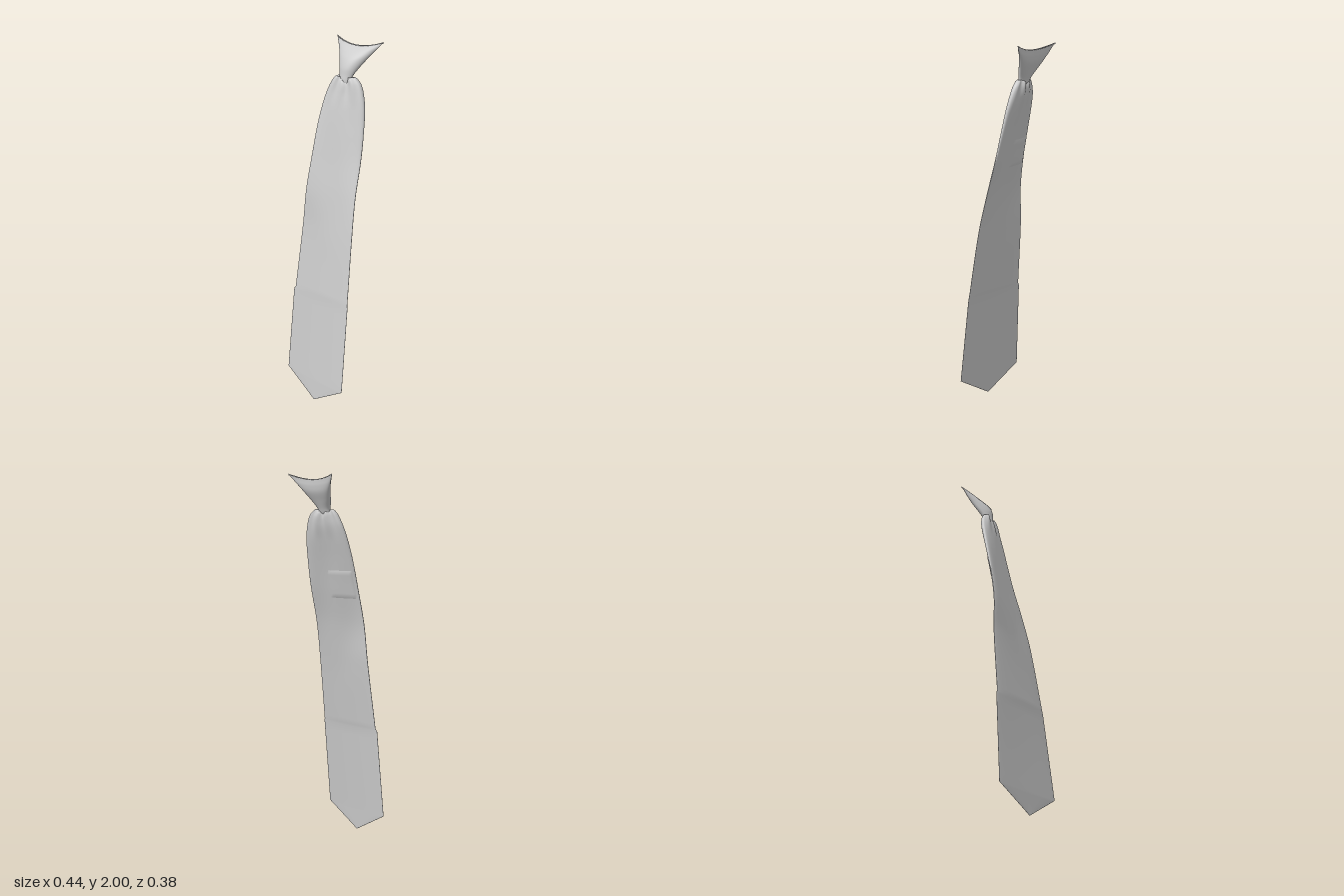
import * as THREE from 'three';

const SIDES = 64;

// Blade stations: y, left-edge x, right-edge x, z at each edge, half thickness
const FLAT = [
  [0, -0.002, 0.002, 0.173, 0.175, 0.002],
  [0.125, -0.22, 0.215, 0.142, 0.188, 0.003],
  [0.61, -0.198, 0.207, 0.108, 0.131, 0.004],
];
const BODY = [
  [0.625, -0.188, 0.204, 0.106, 0.129, 0.007],
  [1.0, -0.163, 0.186, 0.066, 0.070, 0.010],
  [1.2, -0.147, 0.171, 0.055, 0.026, 0.012],
  [1.4, -0.131, 0.162, 0.020, -0.030, 0.018],
  [1.55, -0.122, 0.151, -0.014, -0.064, 0.024],
  [1.66, -0.109, 0.138, -0.043, -0.086, 0.029],
  [1.73, -0.094, 0.120, -0.062, -0.096, 0.031],
  [1.78, -0.074, 0.099, -0.073, -0.100, 0.029],
  [1.805, -0.058, 0.077, -0.079, -0.098, 0.024],
  [1.815, -0.046, 0.062, -0.082, -0.096, 0.018],
];

// Knot stations: y, left x, right x, z of corners, z of middle, half thickness, sag of the middle
const KNOT = [
  [1.77, -0.020, 0.030, -0.085, -0.080, 0.012, 0],
  [1.79, -0.030, 0.040, -0.090, -0.086, 0.020, 0],
  [1.82, -0.036, 0.046, -0.098, -0.095, 0.024, 0],
  [1.86, -0.055, 0.068, -0.120, -0.108, 0.030, 0.002],
  [1.91, -0.080, 0.102, -0.149, -0.129, 0.031, 0.008],
  [1.95, -0.103, 0.134, -0.169, -0.145, 0.022, 0.016],
  [1.98, -0.121, 0.161, -0.181, -0.156, 0.012, 0.024],
  [2.0, -0.132, 0.174, -0.190, -0.162, 0.006, 0.029],
];

// Smooth interpolation of a station table at height y
function station(table, y) {
  const last = table.length - 1;
  let i = 0;
  while (i < last - 1 && y > table[i + 1][0]) i++;
  const a = table[i], b = table[i + 1], h = b[0] - a[0], s = (y - a[0]) / h;
  const slope = (k, c) => {
    const p = table[Math.max(k - 1, 0)], q = table[Math.min(k + 1, last)];
    return (q[c] - p[c]) / (q[0] - p[0]);
  };
  return a.map((v, c) => {
    if (c === 0) return y;
    const s2 = s * s, s3 = s2 * s;
    return v * (2 * s3 - 3 * s2 + 1) + b[c] * (3 * s2 - 2 * s3)
      + h * (slope(i, c) * (s3 - 2 * s2 + s) + slope(i + 1, c) * (s3 - s2));
  });
}

// Point on the blade at angle t around a station, with gathers near the knot
function bladePoint([y, xl, xr, zl, zr, th], t) {
  const u = Math.cos(t), w = Math.sin(t);
  const gather = THREE.MathUtils.smoothstep(y, 1.64, 1.81);
  const fold = 0.006 * gather * Math.cos(u * 10 + 0.6) * Math.abs(w);
  const drape = 0.003 * Math.sin(y * 9 + u * 3) * THREE.MathUtils.smoothstep(y, 0.8, 1.2) * w * w;
  const z = THREE.MathUtils.lerp(zl, zr, (u + 1) / 2) + th * Math.sign(w) * Math.pow(Math.abs(w), 0.8);
  // shoulders stay high while the middle dips under the knot
  const dip = 0.02 * gather * Math.exp(-u * u * 8);
  return [(xl + xr) / 2 + u * (xr - xl) / 2, y - dip, z + fold + drape];
}

// Point on the flared, forward-bowed knot
function knotPoint([y, xl, xr, zc, zm, th, sag], t) {
  const u = Math.cos(t), w = Math.sin(t), bow = 1 - u * u;
  return [
    (xl + xr) / 2 + u * (xr - xl) / 2,
    y - sag * bow,
    zc + (zm - zc) * bow + th * w,
  ];
}

// Skin a list of point rows; rings wrap around, patches do not
function skin(rows, wrap) {
  const n = rows[0].length, index = [];
  for (let i = 0; i < rows.length - 1; i++) {
    for (let j = 0; j < (wrap ? n : n - 1); j++) {
      const k = (j + 1) % n, a = i * n + j, b = i * n + k;
      index.push(a, a + n, b, b, a + n, b + n);
    }
  }
  const geo = new THREE.BufferGeometry();
  geo.setAttribute('position', new THREE.Float32BufferAttribute(rows.flat(2), 3));
  geo.setIndex(index);
  geo.computeVertexNormals();
  return geo;
}

const ring = (point, st) =>
  Array.from({ length: SIDES }, (_, j) => point(st, (j / SIDES) * Math.PI * 2));

// Ring flattened towards its own middle, used to close an end
function capRing(row, drop) {
  const n = row.length;
  return row.map((p, j) => {
    const q = row[(n - j) % n];
    return [p[0], (p[1] + q[1]) / 2 - drop, (p[2] + q[2]) / 2];
  });
}

export function createModel() {
  const group = new THREE.Group();
  const material = new THREE.MeshStandardMaterial({
    color: 0xcccccc, roughness: 0.8, side: THREE.DoubleSide,
  });
  const add = (name, geometry) => {
    const mesh = new THREE.Mesh(geometry, material);
    mesh.name = name;
    group.add(mesh);
  };

  // Flat pointed lower end
  const lower = [];
  for (let i = 0; i < FLAT.length - 1; i++) {
    for (let k = i ? 1 : 0; k <= 10; k++) {
      const st = FLAT[i].map((v, c) => THREE.MathUtils.lerp(v, FLAT[i + 1][c], k / 10));
      lower.push(ring(bladePoint, st));
    }
  }

  // Padded upper length, tucked into the knot at the top
  const upper = [];
  const y0 = BODY[0][0], y1 = BODY[BODY.length - 1][0];
  for (let k = 0; k <= 70; k++) {
    const s = k / 70;
    upper.push(ring(bladePoint, station(BODY, y0 + (y1 - y0) * (1 - Math.pow(1 - s, 1.6)))));
  }
  upper.push(ring(bladePoint, [1.814, -0.034, 0.046, -0.085, -0.094, 0.01]));
  upper.push(ring(bladePoint, [1.8, -0.02, 0.03, -0.087, -0.091, 0.004]));
  add('blade', skin([...lower, ...upper], true));

  // Knot with a shallow hollow along its top edge
  const knot = [];
  for (let k = 0; k <= 36; k++) {
    knot.push(ring(knotPoint, station(KNOT, 1.77 + 0.23 * k / 36)));
  }
  knot.push(capRing(knot[knot.length - 1], 0.008));
  add('knot', skin(knot, true));

  // Keeper patch stitched to the back, following the cloth
  const patch = [];
  for (let i = 0; i <= 12; i++) {
    const st = station(BODY, 1.34 + 0.15 * i / 12);
    const row = [];
    for (let j = 0; j <= 12; j++) {
      const [x, y, z] = bladePoint(st, Math.PI * (1.13 + 0.4 * j / 12));
      const edge = i === 0 || i === 12 || j === 0 || j === 12;
      row.push([x, y, z - (edge ? 0 : 0.004)]);
    }
    patch.push(row);
  }
  add('keeperPatch', skin(patch, false));

  return group;
}
